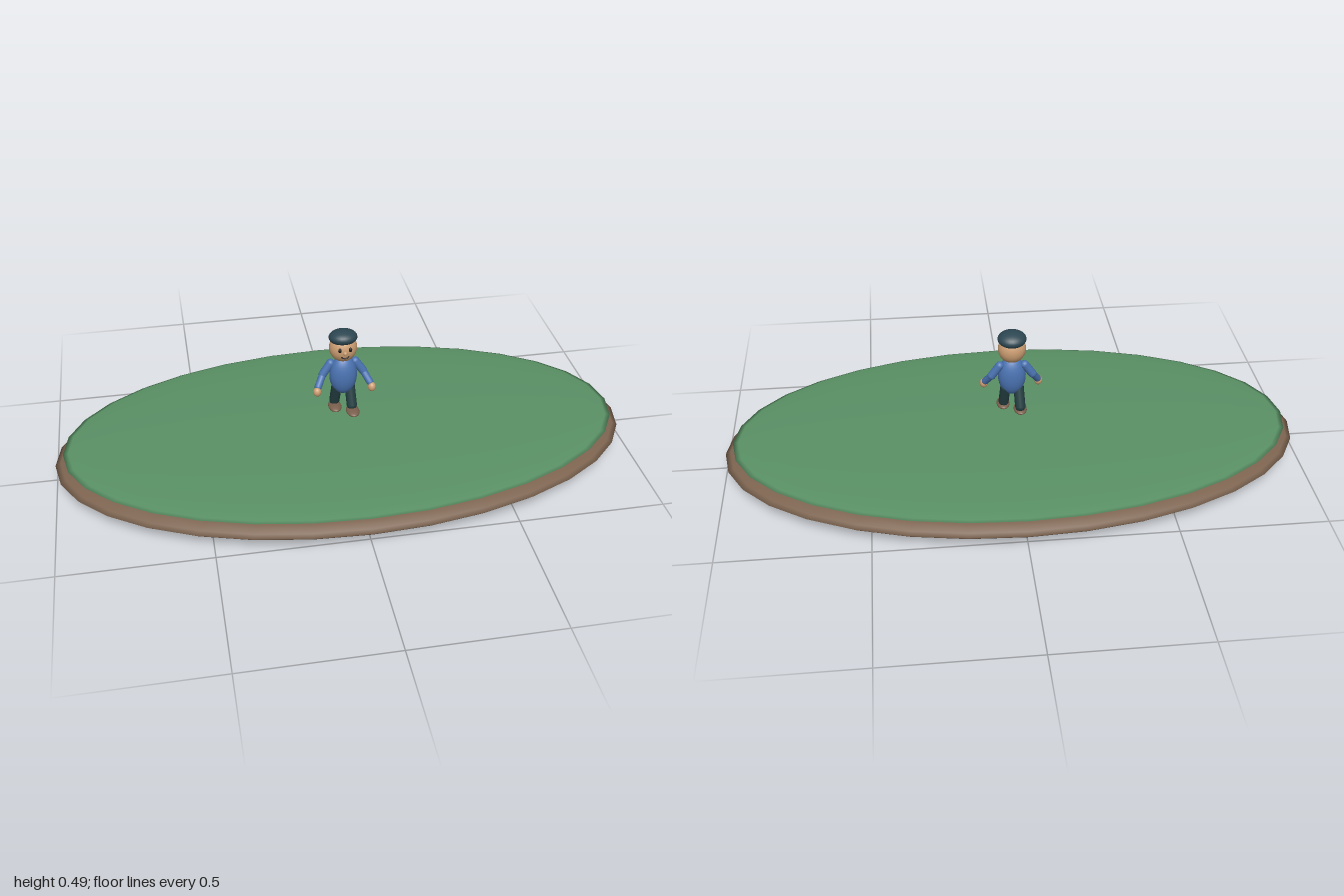
import * as THREE from 'three';

const mat = (name, color) => new THREE.MeshStandardMaterial({ name, color });

export function createModel() {
  const model = new THREE.Group();
  const soil = mat('soil brown', 0x7d6450);
  const grass = mat('grass green', 0x5a9165);
  const skin = mat('skin', 0xcd9f73);
  const shirt = mat('shirt blue', 0x4a73b2);
  const trousers = mat('trouser dark green', 0x243f42);
  const cap = mat('cap slate', 0x2d4752);
  const shoe = mat('shoe brown', 0x7a5f4c);
  const dark = mat('face dark', 0x1c1a1a);

  const add = (name, geometry, material) => {
    const mesh = new THREE.Mesh(geometry, material);
    mesh.name = name;
    model.add(mesh);
    return mesh;
  };
  const ellipsoid = (name, material, pos, radii, w = 24, h = 16) => {
    const mesh = add(name, new THREE.SphereGeometry(1, w, h), material);
    mesh.position.set(...pos);
    mesh.scale.set(...radii);
    return mesh;
  };
  // Rounded limb segment between two points
  const limb = (name, material, a, b, radius) => {
    const p = new THREE.Vector3(...a), q = new THREE.Vector3(...b);
    const dir = q.clone().sub(p);
    const mesh = add(name, new THREE.CapsuleGeometry(radius, dir.length(), 6, 16), material);
    mesh.position.copy(p).add(q).multiplyScalar(0.5);
    mesh.quaternion.setFromUnitVectors(new THREE.Vector3(0, 1, 0), dir.normalize());
  };

  // Flattened island
  ellipsoid('soil', soil, [0, 0.059, 0], [1, 0.059, 0.545], 32, 16);
  ellipsoid('grass', grass, [0, 0.103, 0], [0.97, 0.02, 0.523], 32, 16);

  // Body, head and cap
  ellipsoid('torso', shirt, [0, 0.32, 0.002], [0.048, 0.074, 0.035]);
  ellipsoid('head', skin, [0, 0.427, 0], [0.048, 0.051, 0.042]);
  ellipsoid('cap', cap, [0, 0.466, -0.002], [0.049, 0.026, 0.044]).rotation.x = -0.1;

  // Face
  ellipsoid('nose', skin, [0, 0.426, 0.042], [0.007, 0.007, 0.008], 12, 8);
  const mouth = add('mouth', new THREE.TorusGeometry(0.015, 0.0022, 6, 16, Math.PI * 0.7), dark);
  mouth.position.set(0, 0.421, 0.042);
  mouth.rotation.z = Math.PI * 1.15;

  for (const s of [1, -1]) {
    const side = s > 0 ? 'left' : 'right';
    ellipsoid(side + 'Eye', dark, [s * 0.018, 0.438, 0.041], [0.006, 0.008, 0.005], 12, 8);

    // Arm with a slight elbow bend
    const elbow = [s * 0.07, 0.325, -0.003];
    limb(side + 'UpperArm', shirt, [s * 0.043, 0.365, -0.006], elbow, 0.0145);
    limb(side + 'Forearm', shirt, elbow, [s * 0.09, 0.29, 0.02], 0.0125);
    ellipsoid(side + 'Hand', skin, [s * 0.095, 0.276, 0.03], [0.014, 0.017, 0.014], 16, 12);

    // Striding leg: left forward, right back
    const z = s > 0 ? 0.02 : -0.021;
    limb(side + 'Leg', trousers, [s * 0.023, 0.272, 0], [s * 0.027, 0.204, z], 0.018);
    ellipsoid(side + 'Shoe', shoe, [s * 0.028, 0.186, z + 0.013], [0.023, 0.011, 0.038], 20, 12);
  }
  return model;
}
